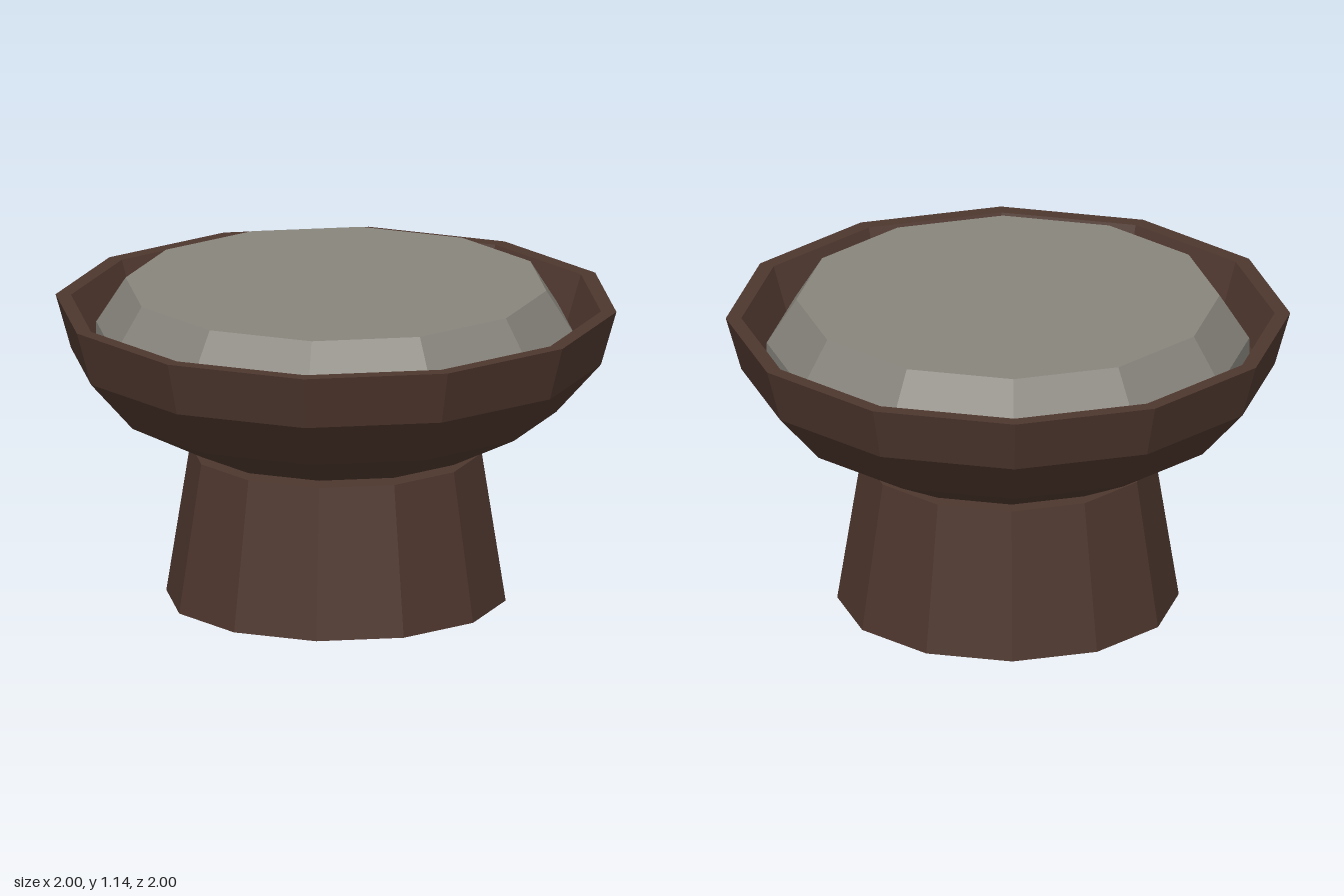
import * as THREE from 'three';

const SIDES = 12;

// Faceted solid of revolution; profile runs from the bottom centre outward and up
function turned(name, profile, material) {
  const points = profile.map(([r, y]) => new THREE.Vector2(r, y));
  const mesh = new THREE.Mesh(new THREE.LatheGeometry(points, SIDES), material);
  mesh.name = name;
  return mesh;
}

export function createModel() {
  const wood = new THREE.MeshStandardMaterial({ color: 0x4e372e });
  wood.name = 'dark wood';
  wood.flatShading = true;
  const stone = new THREE.MeshStandardMaterial({ color: 0x88857d });
  stone.name = 'grey stone';
  stone.flatShading = true;

  const group = new THREE.Group();
  group.name = 'pedestalBowl';

  // Tapered foot
  group.add(turned('pedestal', [[0, 0], [0.605, 0], [0.52, 0.54], [0, 0.54]], wood));

  // Hollow bowl with a flat rim
  group.add(turned('bowl', [
    [0, 0.5], [0.2, 0.51], [0.38, 0.538], [0.52, 0.567], [0.785, 0.7], [0.945, 0.88], [1, 1.075],
    [0.945, 1.075], [0.89, 0.9], [0.74, 0.74], [0.48, 0.62], [0, 0.57],
  ], wood));

  // Bevelled slab filling the bowl
  group.add(turned('stoneSlab', [
    [0, 0.8], [0.79, 0.8], [0.855, 0.87], [0.855, 0.98], [0.75, 1.145], [0, 1.145],
  ], stone));

  return group;
}
